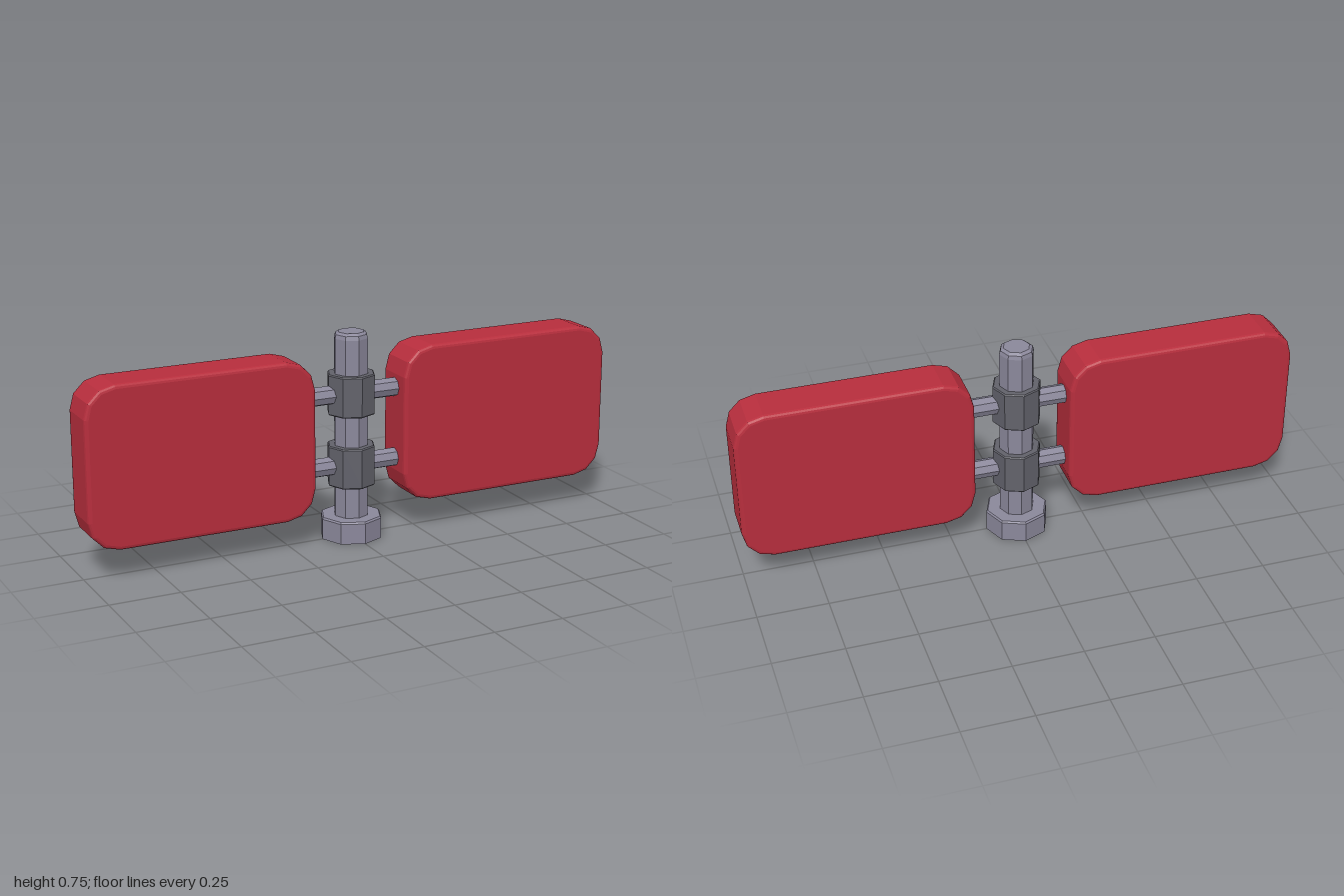
import * as THREE from 'three';

export function createModel() {
  const model = new THREE.Group();
  const red = new THREE.MeshStandardMaterial({ color: 0xb82e3d });
  const steel = new THREE.MeshStandardMaterial({ color: 0x8b889b, side: THREE.DoubleSide });
  const darkSteel = new THREE.MeshStandardMaterial({ color: 0x62626b });
  red.name = 'red panel';
  steel.name = 'light steel';
  darkSteel.name = 'dark steel';

  const add = (name, geometry, material, x = 0, y = 0, z = 0) => {
    const mesh = new THREE.Mesh(geometry, material);
    mesh.name = name;
    mesh.position.set(x, y, z);
    model.add(mesh);
    return mesh;
  };

  // Eight-sided turned solid with flat faces
  const turned = (profile) => {
    const points = profile.map(([r, y]) => new THREE.Vector2(r, y));
    const geometry = new THREE.LatheGeometry(points, 8).toNonIndexed();
    geometry.computeVertexNormals();
    return geometry;
  };

  // Post with chamfered top, standing on a hollow foot
  add('post', turned([[0.062, 0.07], [0.062, 0.725], [0.058, 0.739], [0.047, 0.747], [0, 0.747]]), steel);
  add('foot', turned([[0.113, 0], [0.113, 0.074], [0.108, 0.08], [0.05, 0.08]]), steel);

  // Collars around the post, each with a rod to either side
  const collar = turned([
    [0.05, -0.073], [0.083, -0.073], [0.087, -0.069],
    [0.087, 0.069], [0.083, 0.073], [0.05, 0.073],
  ]);
  const rod = new THREE.CylinderGeometry(0.034, 0.034, 0.14, 8).toNonIndexed();
  rod.computeVertexNormals();
  rod.rotateZ(Math.PI / 2);
  for (const y of [0.267, 0.526]) {
    add('collar', collar, darkSteel, 0, y);
    for (const side of [-1, 1]) add('rod', rod, steel, side * 0.12, y);
  }

  // Panel outline: rectangle with corners of three straight facets
  const width = 0.828, height = 0.57, thickness = 0.16, radius = 0.108, bevel = 0.014;
  const outline = [];
  for (let corner = 0; corner < 4; corner++) {
    const sx = corner === 0 || corner === 3 ? 1 : -1;
    const sy = corner < 2 ? 1 : -1;
    for (let i = 0; i <= 3; i++) {
      const a = (corner + i / 3) * Math.PI / 2;
      outline.push(new THREE.Vector2(
        sx * (width / 2 - radius) + radius * Math.cos(a),
        sy * (height / 2 - radius) + radius * Math.sin(a)));
    }
  }
  const panel = new THREE.ExtrudeGeometry(new THREE.Shape(outline), {
    depth: thickness - 2 * bevel, bevelEnabled: true, bevelSize: bevel,
    bevelThickness: bevel, bevelOffset: -bevel, bevelSegments: 3,
  });
  panel.translate(0, 0, bevel - thickness / 2);

  // Matching panels on both sides
  for (const side of [-1, 1]) {
    add(side > 0 ? 'leftPanel' : 'rightPanel', panel, red, side * (1 - width / 2), 0.397);
  }
  return model;
}
